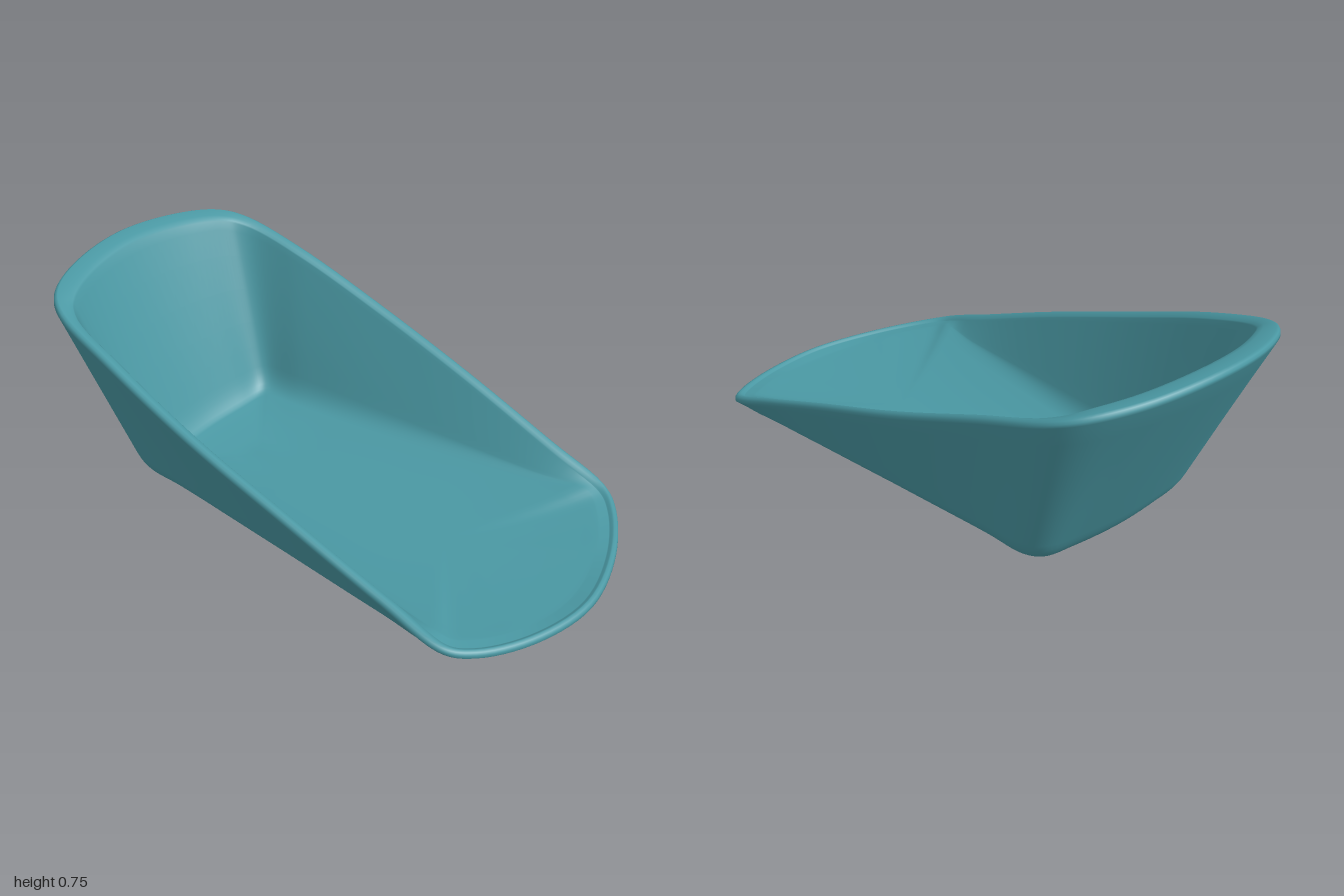
import * as THREE from 'three';

const SEGMENTS = 144;

// Closed loop mirrored from a half outline running back centre -> left side -> front centre
function mirroredLoop(half) {
  const right = half.slice(1, -1).reverse().map(([x, y, z]) => [-x, y, z]);
  const pts = [...half, ...right].map((p) => new THREE.Vector3(...p));
  return new THREE.CatmullRomCurve3(pts, true, 'centripetal');
}

// Crest of the rim
const rimCurve = mirroredLoop([
  [0, 0.75, -1], [0.25, 0.737, -0.965], [0.41, 0.718, -0.89], [0.475, 0.692, -0.8],
  [0.513, 0.615, -0.56], [0.535, 0.48, -0.2], [0.532, 0.335, 0.2], [0.52, 0.2, 0.55],
  [0.508, 0.118, 0.77], [0.44, 0.094, 0.85], [0.25, 0.07, 0.95], [0, 0.06, 1],
]);

// Corner line between the underside and the outer walls
const floorCurve = mirroredLoop([
  [0, 0.045, -0.65], [0.18, 0.047, -0.64], [0.3, 0.053, -0.625], [0.345, 0.06, -0.58],
  [0.36, 0.065, -0.42], [0.385, 0.065, -0.15], [0.42, 0.065, 0.2], [0.452, 0.067, 0.52],
  [0.475, 0.075, 0.75], [0.405, 0.055, 0.83], [0.23, 0.022, 0.92], [0, 0.008, 0.96],
]);

// Height of the underside along the centre line
const keel = (z) => 0.05 * Math.max(0, (-0.2 - z) / 0.45) ** 2;

// Horizontal direction pointing into the shell
function inward(curve, t) {
  const d = curve.getTangent(t);
  return new THREE.Vector3(-d.z, 0, d.x).normalize();
}

// Point on the dished floor: k = 0 at the centre line, 1 at its edge
function floorPoint(edge, k, lift) {
  const z = edge.z * (0.6 + 0.4 * k);
  const y = keel(z) + lift + (edge.y - lift - keel(edge.z)) * k * k;
  return new THREE.Vector3(edge.x * k, y, z);
}

const mix = (a, b, s) => a.clone().lerp(b, s);

// Rounded corner from a to b, pulled toward c
function fillet(a, c, b) {
  const curve = new THREE.QuadraticBezierCurve3(a, c, b);
  return curve.getPoints(6);
}

// One cross-section: underside centre -> outer wall -> rim -> inner wall -> floor centre
function section(t) {
  const rim = rimCurve.getPoint(t);
  const foot = floorCurve.getPoint(t);
  const rimIn = inward(rimCurve, t);
  const footIn = inward(floorCurve, t);

  // The rim is widest at the back and thinnest at the front lip
  const width = 0.04 + (rimIn.z > 0 ? 0.045 : 0.012) * rimIn.z;
  const drop = 0.016 + 0.008 * rimIn.z;
  const onRim = (inset, down) => {
    const p = rim.clone().addScaledVector(rimIn, inset);
    p.y -= down;
    return p;
  };
  const outer = onRim(0, 0.022);
  const inner = onRim(width, drop);

  const innerFoot = foot.clone().addScaledVector(footIn, 0.035);
  innerFoot.y = Math.min(foot.y + 0.036, inner.y - 0.002);

  const spread = [0, 0.25, 0.5, 0.7];
  return [
    ...spread.map((k) => floorPoint(foot, k, 0)),
    ...fillet(floorPoint(foot, 0.86, 0), foot, mix(foot, outer, 0.13)),
    ...[0.3, 0.5, 0.7, 0.88].map((s) => mix(foot, outer, s)),
    outer,
    onRim(0.001, 0.012),
    onRim(0.006, 0.004),
    onRim(0.015, 0),
    onRim(width * 0.7, drop * 0.35),
    onRim(width * 0.92, drop * 0.75),
    inner,
    ...[0.05, 0.2, 0.4, 0.6, 0.75].map((s) => mix(inner, innerFoot, s)),
    ...fillet(mix(inner, innerFoot, 0.87), innerFoot, floorPoint(innerFoot, 0.87, 0.038)),
    ...spread.slice().reverse().map((k) => floorPoint(innerFoot, k, 0.038)),
  ];
}

// Skin the closed ring of cross-sections
function shellGeometry() {
  const positions = [];
  const indices = [];
  let rows = 0;
  for (let i = 0; i < SEGMENTS; i++) {
    const pts = section(i / SEGMENTS);
    rows = pts.length;
    pts.forEach((p) => positions.push(p.x, p.y, p.z));
  }
  for (let i = 0; i < SEGMENTS; i++) {
    const next = (i + 1) % SEGMENTS;
    for (let j = 0; j < rows - 1; j++) {
      const a = i * rows + j;
      const b = next * rows + j;
      indices.push(a, a + 1, b, a + 1, b + 1, b);
    }
  }
  const geometry = new THREE.BufferGeometry();
  geometry.setAttribute('position', new THREE.Float32BufferAttribute(positions, 3));
  geometry.setIndex(indices);
  geometry.computeVertexNormals();

  // Centre-line vertices sit on the seam of both halves: point them straight down or up
  const normals = geometry.attributes.normal;
  for (let i = 0; i < SEGMENTS; i++) {
    normals.setXYZ(i * rows, 0, -1, 0);
    normals.setXYZ(i * rows + rows - 1, 0, 1, 0);
  }
  return geometry;
}

export function createModel() {
  const teal = new THREE.MeshStandardMaterial({ color: 0x4a98a3 });
  teal.name = 'teal';

  const model = new THREE.Group();
  model.name = 'scoop';
  const shell = new THREE.Mesh(shellGeometry(), teal);
  shell.name = 'scoopShell';
  model.add(shell);
  return model;
}
